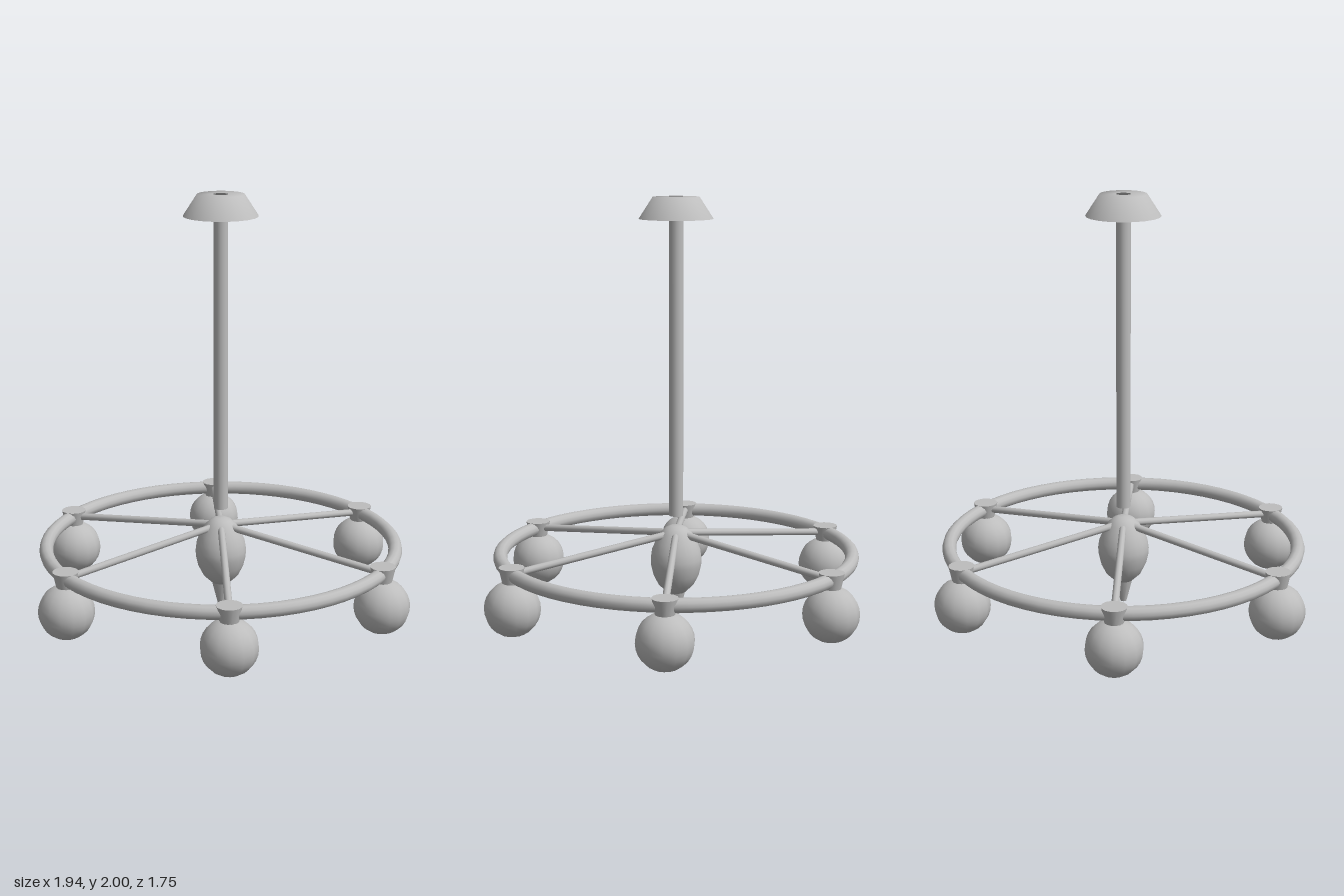
import * as THREE from 'three';

export function createModel() {
  const group = new THREE.Group();
  const metal = new THREE.MeshStandardMaterial({ color: 0xbdbdbd, side: THREE.DoubleSide });
  metal.name = 'grey';

  const add = (name, geometry, parent = group) => {
    const mesh = new THREE.Mesh(geometry, metal);
    mesh.name = name;
    parent.add(mesh);
    return mesh;
  };
  const lathe = (points, sides) =>
    new THREE.LatheGeometry(points.map(([r, y]) => new THREE.Vector2(r, y)), sides);

  const RING = 0.84, RING_Y = 0.308;

  // Ceiling canopy, open underneath, with a hole for the stem
  add('canopy', lathe([[0.175, 1.9], [0.11, 2], [0.034, 2]], 20));

  // Hanging stem
  add('stem', new THREE.CylinderGeometry(0.034, 0.034, 1.495, 16)).position.y = 1.2375;

  // Central egg-shaped hub
  add('hub', lathe([
    [0, 0.11], [0.045, 0.112], [0.085, 0.15], [0.11, 0.2], [0.122, 0.25],
    [0.123, 0.28], [0.117, 0.32], [0.1, 0.36], [0.075, 0.405], [0.05, 0.43], [0.025, 0.441], [0, 0.442],
  ], 20));

  // Pointed finial under the hub
  add('finial', new THREE.CylinderGeometry(0.044, 0.015, 0.115, 12)).position.y = 0.0575;

  // Outer ring
  const ring = add('ring', new THREE.TorusGeometry(RING, 0.033, 12, 64));
  ring.rotation.x = Math.PI / 2;
  ring.position.y = RING_Y;

  // Six arms, each with a spoke, a socket and a bulb
  const start = new THREE.Vector3(0.03, 0.402, 0);
  const end = new THREE.Vector3(RING, 0.308, 0);
  const spokePath = new THREE.LineCurve3(start, end);
  for (let i = 0; i < 6; i++) {
    const arm = new THREE.Group();
    arm.name = 'arm' + (i + 1);
    arm.rotation.y = (i * Math.PI) / 3;
    add('spoke', new THREE.TubeGeometry(spokePath, 1, 0.017, 10), arm);
    add('socket', new THREE.CylinderGeometry(0.06, 0.044, 0.074, 14), arm).position.set(RING, 0.304, 0);
    add('bulb', new THREE.SphereGeometry(0.131, 14, 14), arm).position.set(RING, 0.146, 0);
    group.add(arm);
  }
  return group;
}
